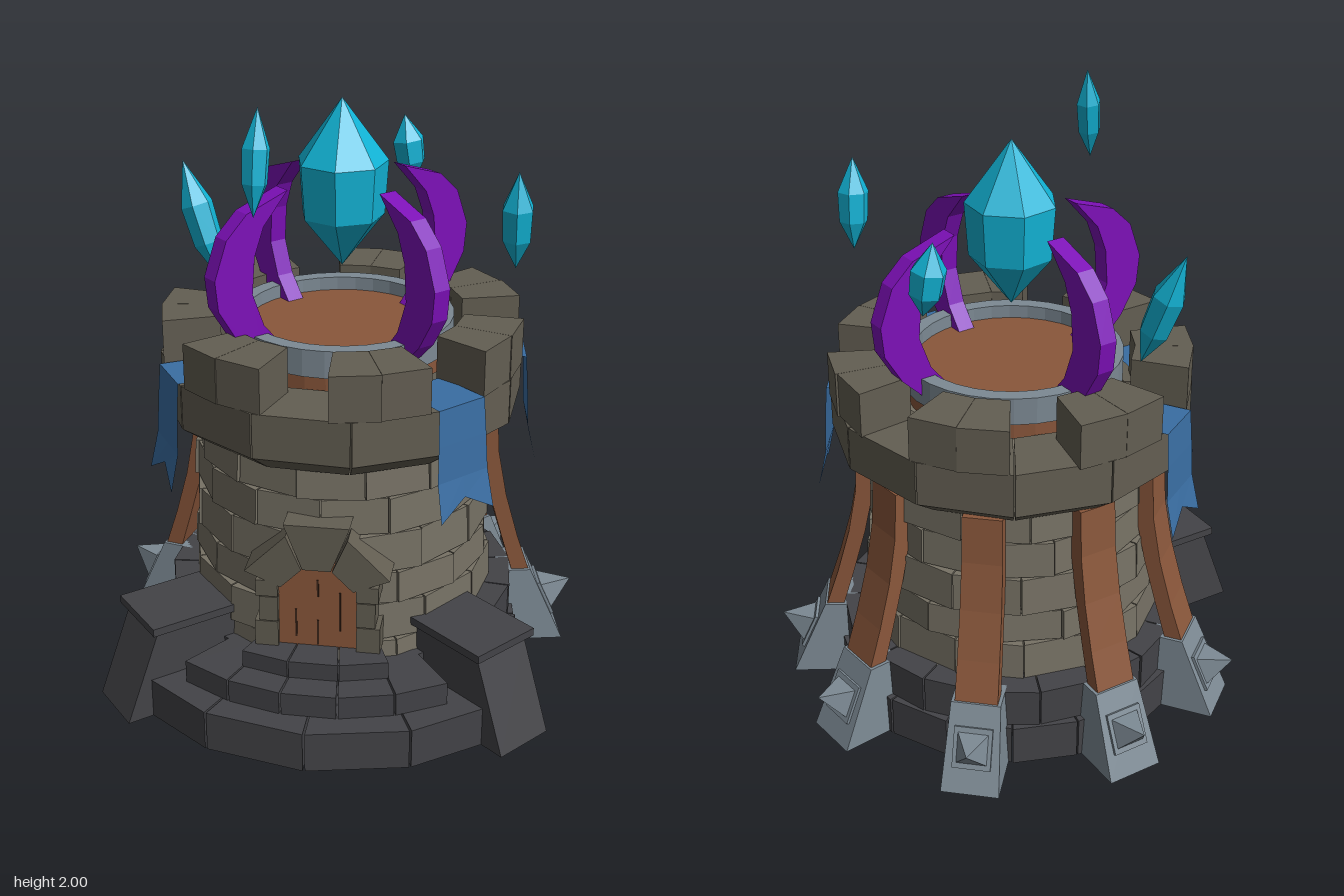
import * as THREE from 'three';
import { mergeGeometries } from 'three/addons/utils/BufferGeometryUtils.js';

const mat = (color) => new THREE.MeshStandardMaterial({ color, flatShading: true, side: THREE.DoubleSide });
const M = {
  stone: mat(0x777265), rampart: mat(0x635e52), dark: mat(0x434347), steel: mat(0x7d8a94),
  wood: mat(0x8a573b), purple: mat(0x7d10b8), crystal: mat(0x12b4d6), cloth: mat(0x3a6ea3), slit: mat(0x3a2418),
};
const rad = THREE.MathUtils.degToRad;
let seed = 7;
const rand = () => (seed = (seed * 16807) % 2147483647) / 2147483647;

function add(parent, name, geo, material) {
  const mesh = new THREE.Mesh(geo, material);
  mesh.name = name;
  parent.add(mesh);
  return mesh;
}

// Wedge-shaped block of a ring; angles in degrees from +z towards +x
function block(r0, r1, a0, a1, y0, y1, r1Top = r1) {
  const g = new THREE.BoxGeometry(1, 1, 1).toNonIndexed();
  const p = g.attributes.position;
  for (let i = 0; i < p.count; i++) {
    const a = rad(p.getX(i) < 0 ? a0 : a1);
    const up = p.getY(i) > 0;
    const r = p.getZ(i) < 0 ? r0 : up ? r1Top : r1;
    p.setXYZ(i, r * Math.sin(a), up ? y1 : y0, r * Math.cos(a));
  }
  g.computeVertexNormals();
  return g;
}

// Row of blocks from angle a0 to a1 with thin joints
function course(n, r0, r1, a0, a1, y0, y1, { r1Top = r1, jitter = 0, gap = 0.5 } = {}) {
  const step = (a1 - a0) / n, parts = [];
  for (let i = 0; i < n; i++) {
    const j = (rand() - 0.5) * jitter;
    parts.push(block(r0, r1 + j, a0 + i * step + gap / 2, a0 + (i + 1) * step - gap / 2, y0, y1, r1Top + j));
  }
  return mergeGeometries(parts);
}

// Side outline of [radius, height] points, given a width across
function profile(points, width, topScale = 1, height = 1) {
  const shape = new THREE.Shape(points.map(([r, y]) => new THREE.Vector2(r, y)));
  const g = new THREE.ExtrudeGeometry(shape, { depth: width, bevelEnabled: false });
  g.translate(0, 0, -width / 2).rotateY(-Math.PI / 2);
  const p = g.attributes.position;
  for (let i = 0; i < p.count; i++) p.setX(i, p.getX(i) * (1 + (topScale - 1) * p.getY(i) / height));
  g.computeVertexNormals();
  return g;
}

// Group whose local +z points outwards at the given angle
function spoke(parent, name, angle) {
  const g = new THREE.Group();
  g.name = name;
  g.rotation.y = rad(angle);
  parent.add(g);
  return g;
}

function cylinder(r0, r1, y0, y1, n) {
  return new THREE.CylinderGeometry(r1, r0, y1 - y0, n).translate(0, (y0 + y1) / 2, 0);
}

function crystal(parent, name, top, bottom, radius, sides) {
  const a = new THREE.Vector3(...bottom), d = new THREE.Vector3(...top).sub(a), h = d.length();
  const pts = [[0, 0], [radius * 0.92, h * 0.31], [radius, h * 0.63], [0, h]].map(([r, y]) => new THREE.Vector2(r, y));
  const mesh = add(parent, name, new THREE.LatheGeometry(pts, sides), M.crystal);
  mesh.position.copy(a);
  mesh.quaternion.setFromUnitVectors(new THREE.Vector3(0, 1, 0), d.normalize());
}

function buildBase(root) {
  add(root, 'foundation', cylinder(0.47, 0.47, 0.005, 0.2, 24), M.dark);
  add(root, 'plinthLower', course(13, 0.44, 0.605, 46, 314, 0, 0.14, { jitter: 0.012 }), M.dark);
  add(root, 'plinthUpper', course(14, 0.44, 0.585, 46, 314, 0.14, 0.27, { jitter: 0.012 }), M.dark);
  add(root, 'frontPlinth', course(5, 0.44, 0.54, -46, 46, 0, 0.21), M.dark);
  add(root, 'lowerStep', course(4, 0.44, 0.81, -47, 47, 0, 0.135), M.dark);
  add(root, 'middleStep', course(5, 0.44, 0.72, -36, 36, 0.135, 0.212), M.dark);
  add(root, 'upperStep', course(3, 0.44, 0.63, -22, 22, 0.212, 0.27), M.dark);
  for (const s of [-1, 1]) {
    const g = spoke(root, s > 0 ? 'leftButtress' : 'rightButtress', s * 49.4);
    add(g, 'buttressBody', profile([[0.42, 0], [0.88, 0], [0.76, 0.305], [0.42, 0.305]], 0.21), M.dark);
    add(g, 'buttressCap', profile([[0.42, 0.305], [0.785, 0.305], [0.785, 0.332], [0.42, 0.332]], 0.25), M.dark);
  }
}

function buildWall(root) {
  add(root, 'wallCore', cylinder(0.46, 0.43, 0.15, 1.07, 28), M.stone);
  const ys = [0.2, 0.27, 0.4, 0.51, 0.645, 0.77, 0.88];
  for (let i = 0; i < ys.length - 1; i++) {
    const off = (i % 2) * 12.5 + rand() * 5, r = 0.515 - i * 0.006;
    add(root, 'brickCourse' + (i + 1),
      course(14, 0.4, r, off, off + 360, ys[i] + 0.002, ys[i + 1] - 0.002, { r1Top: r - 0.005, jitter: 0.014 }), M.stone);
  }
}

function buildDoor(root) {
  const door = spoke(root, 'doorway', 0);
  const s = new THREE.Shape();
  s.moveTo(-0.135, 0.26).lineTo(0.135, 0.26).lineTo(0.135, 0.44);
  s.absarc(0, 0.44, 0.135, 0, Math.PI, false);
  add(door, 'door', new THREE.ExtrudeGeometry(s, { depth: 0.09, bevelEnabled: false, curveSegments: 5 }).translate(0, 0, 0.43), M.wood);
  for (const [x, y, h] of [[0, 0.32, 0.09], [0, 0.48, 0.06], [0.07, 0.4, 0.14], [-0.07, 0.35, 0.1]])
    add(door, 'plankGap', new THREE.BoxGeometry(0.006, h, 0.004).translate(x, y, 0.521), M.slit);
  // Jamb stones and arch stones
  for (const side of [-1, 1])
    [[0.26, 0.36, 0.2], [0.36, 0.45, 0.185], [0.45, 0.51, 0.195]].forEach(([y0, y1, x], i) =>
      add(door, 'jambStone', new THREE.BoxGeometry(x - 0.125, y1 - y0 - 0.004, 0.12)
        .translate(side * (x + 0.125) / 2, (y0 + y1) / 2, 0.48 + i * 0.002), M.rampart));
  const arch = [[22, 68, 0.25], [68, 112, 0.29], [112, 158, 0.25]];
  for (const [a0, a1, r] of arch) {
    const pt = (rr, a) => new THREE.Vector2(rr * Math.cos(rad(a)), 0.44 + rr * Math.sin(rad(a)));
    const v = new THREE.Shape([pt(0.125, a0 + 1), pt(r, a0 + 1), pt(r, a1 - 1), pt(0.125, a1 - 1)]);
    add(door, 'archStone', new THREE.ExtrudeGeometry(v, { depth: 0.13, bevelEnabled: false }).translate(0, 0, 0.415), M.rampart);
  }
}

function buildBattlement(root) {
  add(root, 'rampartFlare', course(12, 0.37, 0.5, -19, 341, 0.87, 0.94, { r1Top: 0.594 }), M.rampart);
  add(root, 'rampartRing', course(12, 0.37, 0.594, -19, 341, 0.94, 1.087), M.rampart);
  const hung = [0, 1, 3, 4];
  for (let k = 0; k < 7; k++) {
    const gapAngle = 97 - k * 360 / 7, mid = gapAngle - 180 / 7;
    add(root, 'merlon', course(2, 0.4, 0.59, mid - 15.5, mid + 15.5, 1.085, 1.235, { gap: 0.1, jitter: 0.01 }), M.rampart);
    if (!hung.includes(k)) continue;
    // Forked banner draped over the gap
    const path = [[0.4, 1.095], [0.598, 1.097], [0.606, 0.98], [0.612, 0.86], [0.64, 0.735]];
    const g = new THREE.PlaneGeometry(0.17, 1, 2, path.length - 1), p = g.attributes.position;
    for (let i = 0; i < p.count; i++) {
      const row = Math.floor(i / 3), centre = i % 3 === 1, last = row === path.length - 1;
      p.setXYZ(i, p.getX(i) * (1 + (row > 0 ? 0.06 * row : 0)), path[row][1] + (centre && last ? 0.06 : 0), path[row][0] - (centre && last ? 0.015 : 0));
    }
    g.computeVertexNormals();
    add(spoke(root, 'bannerMount', gapAngle), 'banner', g, M.cloth);
  }
  add(root, 'roofDeck', cylinder(0.345, 0.345, 1.0, 1.175, 32), M.wood);
  const ring = [[0.315, 1.13], [0.365, 1.13], [0.365, 1.22], [0.315, 1.22], [0.315, 1.13]];
  add(root, 'roofHoop', new THREE.LatheGeometry(ring.map(([r, y]) => new THREE.Vector2(r, y)), 32), M.steel);
}

function buildBraces(root) {
  for (const a of [102, 138.5, 180, 221.5, 258]) {
    const g = spoke(root, 'brace', a);
    add(g, 'footing', profile([[0.54, 0], [0.77, 0], [0.65, 0.27], [0.54, 0.27]], 0.19, 0.85, 0.27), M.steel);
    add(g, 'strut', profile([[0.59, 0.25], [0.65, 0.25], [0.6, 0.4], [0.555, 0.56], [0.525, 0.72], [0.515, 0.88],
      [0.45, 0.88], [0.465, 0.72], [0.5, 0.56], [0.545, 0.4]], 0.145, 0.88, 0.88), M.wood);
    const spike = spoke(g, 'spikeMount', 0);
    spike.position.set(0, 0.14, 0.708);
    spike.rotation.x = -0.42;
    add(spike, 'spikePlate', new THREE.BoxGeometry(0.125, 0.135, 0.02), M.steel);
    add(spike, 'spike', new THREE.ConeGeometry(0.07, 0.1, 4).rotateY(Math.PI / 4).rotateX(Math.PI / 2).translate(0, 0, 0.06), M.steel);
  }
}

function buildMagic(root) {
  // Curved claws around the large crystal
  const claw = [[0.21, 1.11], [0.33, 1.13], [0.43, 1.23], [0.49, 1.33], [0.5, 1.43], [0.455, 1.55], [0.38, 1.62],
    [0.23, 1.67], [0.32, 1.57], [0.355, 1.48], [0.365, 1.36], [0.325, 1.25]];
  for (const a of [45, 135, 225, 315])
    add(spoke(root, 'clawMount', a), 'claw', profile(claw, 0.06), M.purple);
  crystal(root, 'greatCrystal', [0, 1.92, 0], [0, 1.375, 0], 0.148, 7);
  crystal(root, 'floatingCrystal1', [-0.165, 2, 0.495], [-0.175, 1.69, 0.54], 0.042, 6);
  crystal(root, 'floatingCrystal2', [-0.56, 1.65, -0.18], [-0.43, 1.26, -0.12], 0.055, 6);
  crystal(root, 'floatingCrystal3', [0.56, 1.76, 0.2], [0.56, 1.45, 0.17], 0.052, 6);
  crystal(root, 'floatingCrystal4', [0.145, 1.76, -0.465], [0.18, 1.525, -0.465], 0.056, 6);
}

export function createModel() {
  const root = new THREE.Group();
  root.name = 'crystalTower';
  for (const build of [buildBase, buildWall, buildDoor, buildBattlement, buildBraces, buildMagic]) build(root);
  return root;
}
